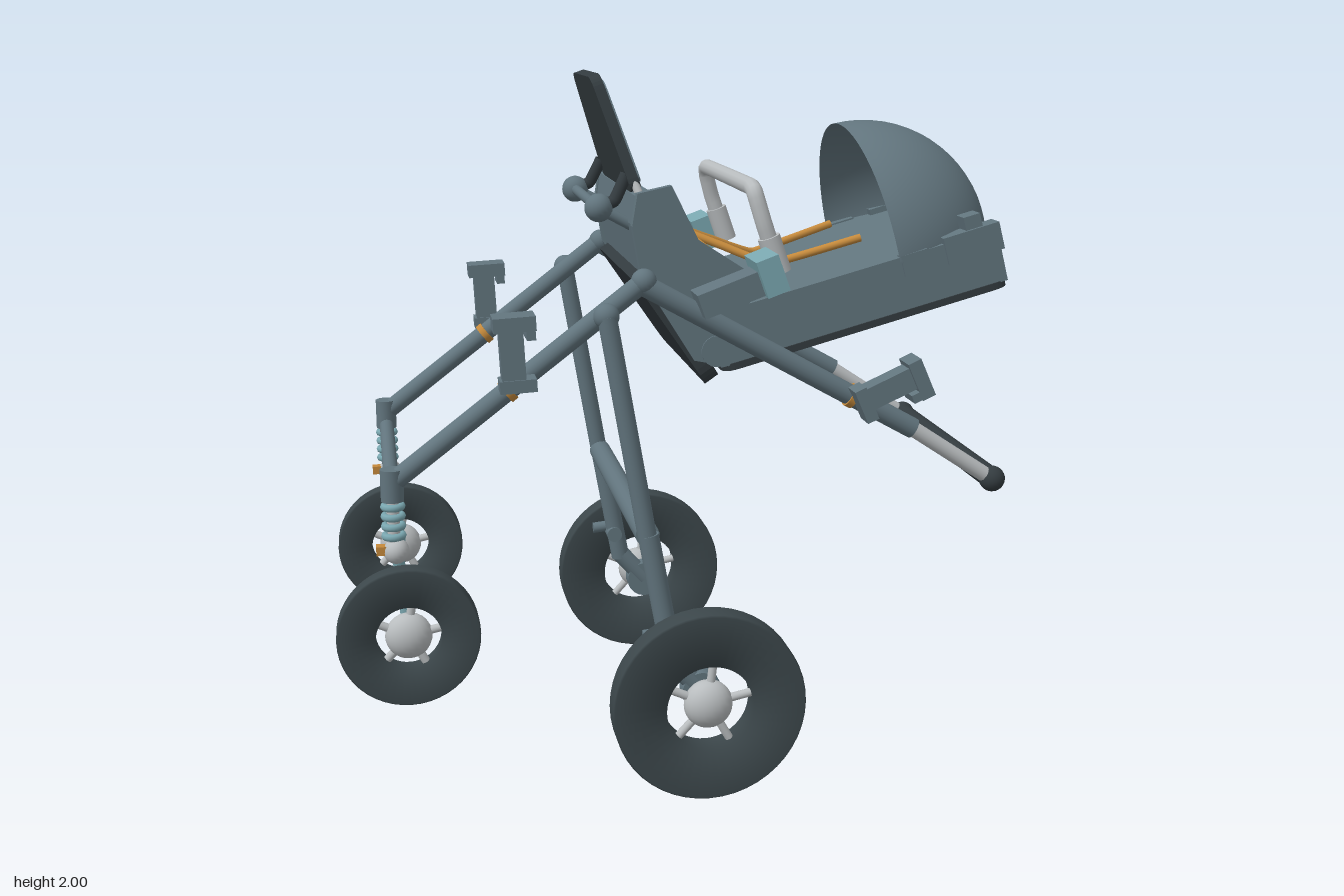
import * as THREE from 'three';

const mat = (name, color) => {
  const m = new THREE.MeshStandardMaterial({ color, side: THREE.DoubleSide });
  m.name = name;
  return m;
};

export function createModel() {
  const slate = mat('slate', 0x62757e), rubber = mat('rubber', 0x3c474b), dark = mat('dark', 0x333b3f);
  const silver = mat('silver', 0xb9bdbf), teal = mat('teal', 0x7aa7b0), orange = mat('orange', 0xc58a3c);
  const model = new THREE.Group();
  model.name = 'pushchair';
  const V = (p) => new THREE.Vector3(...p);

  const add = (name, geo, material, pos = [0, 0, 0], rz = 0, parent = model) => {
    const m = new THREE.Mesh(geo, material);
    m.name = name;
    m.position.set(...pos);
    m.rotation.z = rz;
    parent.add(m);
    return m;
  };
  const box = (name, size, pos, rz, material, parent) =>
    add(name, new THREE.BoxGeometry(...size), material, pos, rz, parent);
  const ball = (name, r, pos, material) => add(name, new THREE.SphereGeometry(r, 20, 14), material, pos);
  // straight round bar between two points
  const bar = (name, a, b, r, material, r2 = r) => {
    const d = V(b).sub(V(a));
    const m = add(name, new THREE.CylinderGeometry(r2, r, d.length(), 18), material);
    m.position.copy(V(a)).addScaledVector(d, 0.5);
    m.quaternion.setFromUnitVectors(new THREE.Vector3(0, 1, 0), d.normalize());
    return m;
  };
  // bent round bar through points, with straight runs
  const bent = (name, pts, r, material) => {
    const path = new THREE.CatmullRomCurve3(pts.map(V), false, 'catmullrom', 0.15);
    return add(name, new THREE.TubeGeometry(path, 48, r, 12), material);
  };
  // side profile in x/y, extruded between two z values
  const profile = (name, pts, z0, z1, material) => {
    const shape = new THREE.Shape(pts.map((p) => new THREE.Vector2(...p)));
    return add(name, new THREE.ExtrudeGeometry(shape, { depth: z1 - z0, bevelEnabled: false }), material, [0, 0, z0]);
  };
  // rounded plate, outlined in length and half widths, laid along an angle
  const plate = (name, len, w0, w1, thick, round, material, pos, rz) => {
    const c = [[0, -w0], [len, -w1], [len, w1], [0, w0]].map((p) => new THREE.Vector2(...p));
    const s = new THREE.Shape();
    c.forEach((p, i) => {
      const toward = (q) => p.clone().add(q.clone().sub(p).setLength(round));
      const a = toward(c[(i + 3) % 4]), b = toward(c[(i + 1) % 4]);
      if (i) s.lineTo(a.x, a.y); else s.moveTo(a.x, a.y);
      s.quadraticCurveTo(p.x, p.y, b.x, b.y);
    });
    s.closePath();
    const g = new THREE.ExtrudeGeometry(s, { depth: thick, bevelEnabled: false, curveSegments: 6 });
    g.rotateX(-Math.PI / 2);
    return add(name, g, material, pos, rz);
  };

  // wheel: ring tyre, spokes and round hub
  const wheel = (name, x, y, z, R, hole, w, hubR) => {
    const h = w / 2;
    const tyre = new THREE.LatheGeometry([[hole, -h], [R - 0.005, -h], [R, -h + 0.006], [R, h - 0.006],
      [R - 0.005, h], [hole, h], [hole, -h]].map((p) => new THREE.Vector2(...p)), 48);
    tyre.rotateX(Math.PI / 2);
    add(name + 'Tyre', tyre, rubber, [x, y, z]);
    ball(name + 'Hub', hubR, [x, y, z], silver).scale.z = 0.75;
    for (let i = 0; i < 5; i++) {
      const a = (i / 5) * Math.PI * 2 + 0.2, c = Math.cos(a), s = Math.sin(a);
      bar(name + 'Spoke', [x, y, z], [x + c * hole * 1.03, y + s * hole * 1.03, z], 0.012, silver);
    }
  };

  // clip-on bracket, built upright
  const bracket = (x, y, z, rz) => {
    const g = new THREE.Group();
    g.name = 'accessoryBracket';
    g.position.set(x, y, z);
    g.rotation.z = rz;
    model.add(g);
    box('bracketStem', [0.065, 0.17, 0.06], [0, -0.01, 0], 0, slate, g);
    box('bracketTop', [0.115, 0.04, 0.085], [0.01, 0.085, 0], 0, slate, g);
    box('bracketLip', [0.025, 0.03, 0.085], [0.052, 0.055, 0], 0, slate, g);
    box('bracketFoot', [0.1, 0.035, 0.07], [0.01, -0.085, 0], 0, slate, g);
  };

  for (const s of [1, -1]) {
    const P = (x, y, z) => [x, y, z * s];
    // wheels
    wheel('rearWheel', 0.02, 0.28, 0.585 * s, 0.275, 0.125, 0.08, 0.07);
    wheel('frontWheel', -0.8, 0.475, 0.41 * s, 0.2, 0.092, 0.06, 0.066);

    // front frame tube and sloping handle tube
    bar('frontTube', P(-0.83, 0.92, 0.41), P(-0.13, 1.455, 0.41), 0.028, slate);
    ball('frameHinge', 0.036, P(-0.13, 1.455, 0.41), slate);
    bar('handleTube', P(-0.13, 1.445, 0.41), P(0.655, 1.005, 0.41), 0.03, slate);
    bar('handleExtension', P(0.65, 1.007, 0.405), P(0.88, 0.855, 0.405), 0.023, silver);
    ball('handleCorner', 0.038, P(0.905, 0.84, 0.405), dark);

    // rear leg with drum axle and brake lever
    ball('legTop', 0.036, P(-0.24, 1.37, 0.45), slate);
    bar('rearLeg', P(-0.24, 1.37, 0.46), P(-0.13, 0.73, 0.47), 0.027, slate);
    bar('rearLegLower', P(-0.13, 0.75, 0.47), P(-0.06, 0.36, 0.48), 0.03, slate);
    bar('axleArm', P(-0.06, 0.37, 0.48), P(0.02, 0.28, 0.48), 0.03, slate);
    bar('axleDrum', P(0.02, 0.28, 0.455), P(0.02, 0.28, 0.505), 0.058, slate);
    bar('rearAxle', P(0.02, 0.28, 0.5), P(0.02, 0.28, 0.6), 0.022, silver);
    bar('brakeLever', P(-0.15, 0.46, 0.5), P(-0.05, 0.47, 0.5), 0.018, slate);
    bar('brakePin', P(-0.085, 0.45, 0.44), P(-0.085, 0.45, 0.53), 0.025, slate);

    // sprung front fork
    bar('forkCap', P(-0.83, 0.87, 0.41), P(-0.83, 0.96, 0.41), 0.032, slate);
    bar('forkCore', P(-0.83, 0.7, 0.41), P(-0.83, 0.88, 0.41), 0.018, silver);
    for (let i = 0; i < 4; i++) {
      const ring = new THREE.TorusGeometry(0.024, 0.011, 8, 20);
      ring.rotateX(Math.PI / 2);
      add('forkSpring', ring, teal, P(-0.83, 0.77 + i * 0.028, 0.41));
    }
    ball('forkJoint', 0.036, P(-0.825, 0.725, 0.41), silver);
    box('forkClip', [0.03, 0.025, 0.03], P(-0.865, 0.73, 0.41), 0, orange);
    bent('forkBlade', [P(-0.825, 0.72, 0.4), P(-0.822, 0.69, 0.352), P(-0.815, 0.64, 0.345), P(-0.8, 0.475, 0.345)], 0.017, teal);
    bar('frontAxle', P(-0.8, 0.475, 0.335), P(-0.8, 0.475, 0.42), 0.02, silver);

    // accessory brackets with coloured clamps
    bracket(-0.5, 1.28, 0.468 * s, 0.05);
    bracket(0.56, 1.145, 0.468 * s, -1.15);
    bar('tubeClamp', P(-0.515, 1.16, 0.41), P(-0.5, 1.172, 0.41), 0.033, orange);
    bar('tubeClamp', P(0.46, 1.114, 0.41), P(0.477, 1.105, 0.41), 0.035, orange);

    // side mounts holding the seat and the grab bar
    box('seatMount', [0.2, 0.07, 0.1], P(0.11, 1.425, 0.435), 0.35, slate);
    box('grabBarMount', [0.065, 0.105, 0.145], P(0.208, 1.475, 0.44), 0.35, teal);
    bar('grabBarSocket', P(0.27, 1.46, 0.345), P(0.235, 1.56, 0.345), 0.032, silver);

    // seat side panels
    profile('seatSide', [[-0.14, 1.69], [-0.045, 1.71], [0.03, 1.56], [0.2, 1.45], [0.12, 1.2], [0.02, 1.22], [-0.13, 1.46], [-0.155, 1.6]],
      s > 0 ? 0.34 : -0.37, s > 0 ? 0.37 : -0.34, slate);

    // reclining knob and arm behind the backrest
    ball('reclineKnob', 0.04, P(-0.23, 1.64, 0.25), slate);
    bent('reclineArm', [P(-0.23, 1.64, 0.25), P(-0.185, 1.66, 0.25), P(-0.15, 1.73, 0.24)], 0.018, dark);
    bar('reclineLink', P(-0.23, 1.64, 0.25), P(-0.12, 1.58, 0.25), 0.016, slate);
    bar('backPost', P(-0.1, 1.62, 0.3), P(-0.16, 1.8, 0.22), 0.012, silver);

    // canopy mounts on the tray corners
    box('canopyMount', [0.17, 0.08, 0.06], P(0.83, 1.53, 0.345), 0.27, slate);
    box('canopyMountTop', [0.05, 0.06, 0.06], P(0.83, 1.58, 0.335), 0.27, slate);
    box('canopyMountSide', [0.08, 0.06, 0.035], P(0.66, 1.48, 0.357), 0.27, slate);

    // harness straps
    bent('lapStrap', [P(0.03, 1.55, 0.02), P(0.16, 1.5, 0.07), P(0.3, 1.45, 0.12), P(0.56, 1.525, 0.16)], 0.012, orange);
    bent('sideStrap', [P(0.02, 1.55, 0.02), P(0.055, 1.535, 0.15), P(0.095, 1.5, 0.31)], 0.012, orange);
  }

  // cross bars
  bar('frontCrossBar', [-0.83, 0.88, -0.41], [-0.83, 0.88, 0.41], 0.022, slate);
  bar('rearCrossBar', [-0.13, 0.745, -0.46], [-0.13, 0.745, 0.46], 0.034, slate);
  bar('pushHandle', [0.905, 0.84, -0.4], [0.905, 0.84, 0.4], 0.032, dark);
  bar('reclineBar', [-0.23, 1.64, -0.25], [-0.23, 1.64, 0.25], 0.015, slate);

  // seat core, back shell and hinge roller
  profile('seatCore', [[-0.14, 1.68], [-0.095, 1.69], [-0.03, 1.55], [0.1, 1.43], [0.16, 1.38], [0.12, 1.2], [0.02, 1.22], [-0.12, 1.46], [-0.15, 1.6]],
    -0.345, 0.345, slate);
  plate('seatBackShell', 0.37, 0.36, 0.36, 0.045, 0.06, dark, [0.1, 1.17, 0], Math.PI - 0.97).position.y -= 0.005;
  bar('seatRoller', [0.085, 1.245, -0.375], [0.085, 1.245, 0.375], 0.045, slate);

  // headrest: dark panel with a lighter face
  plate('headrestPanel', 0.33, 0.28, 0.19, 0.03, 0.04, dark, [-0.11, 1.69, 0], 1.89);
  plate('headrestFace', 0.29, 0.265, 0.178, 0.006, 0.03, slate, [-0.11, 1.71, 0], 1.89);

  // sloping tray with dark underside
  const slope = 0.262;
  box('tray', [0.87, 0.155, 0.73], [0.50, 1.383, 0], slope, slate);
  plate('trayUnderside', 0.87, 0.37, 0.37, 0.02, 0.05, dark, [0.106, 1.18, 0], slope);

  // canopy: a lune of a sphere hinged along z
  const lo = THREE.MathUtils.degToRad(-8), span = THREE.MathUtils.degToRad(111);
  const dome = new THREE.SphereGeometry(0.375, 20, 32, Math.PI - lo - span, span);
  dome.rotateX(Math.PI / 2);
  // mirror the sweep so it runs from the tray end up to the opening
  const p = dome.attributes.position;
  for (let i = 0; i < p.count; i++) {
    const a = Math.atan2(p.getY(i), p.getX(i)), r = Math.hypot(p.getX(i), p.getY(i));
    const k = (i % 21) / 20;
    if (r > 1e-6 || a) p.setXY(i, r * Math.cos(lo + span * k), r * Math.sin(lo + span * k));
  }
  dome.setIndex([...dome.index.array]);
  dome.computeVertexNormals();
  add('canopy', dome, slate, [0.612, 1.48, 0]);

  // grab bar and harness buckle
  bent('grabBar', [[0.265, 1.47, 0.345], [0.22, 1.6, 0.345], [0.2, 1.67, 0.335], [0.195, 1.695, 0.3],
    [0.195, 1.695, -0.3], [0.2, 1.67, -0.335], [0.22, 1.6, -0.345], [0.265, 1.47, -0.345]], 0.024, silver);
  box('harnessBuckle', [0.06, 0.025, 0.07], [0.025, 1.55, 0], -0.4, orange);
  return model;
}
